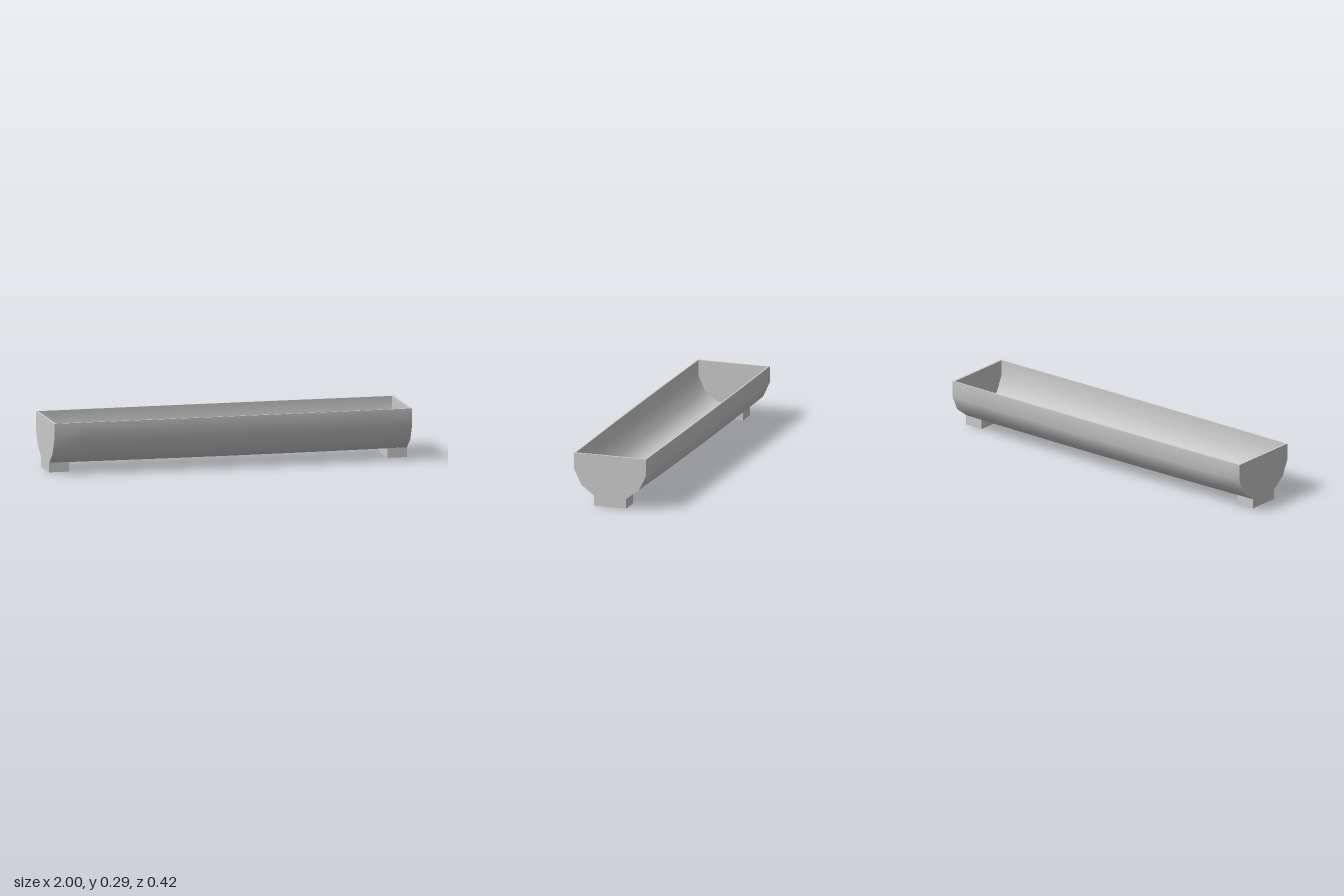
import * as THREE from 'three';

const TOP = 0.287, WALL = 0.012, STEPS = 12;
// Half cross-sections as [z, y], from the rim down to the bottom
const OUTER = [[0.207, TOP], [0.207, 0.196], [0.167, 0.112], [0.09, 0.053]];
const INNER = [[0.199, TOP], [0.199, 0.199], [0.161, 0.118], [0.087, 0.062]];

// Full cross-section at x; the walls swell very slightly towards mid-length
function section(half, x) {
  const b = 0.005 * (1 - x * x);
  const side = half.map(([z, y]) => [z + b, y === TOP ? y : y - b * 0.6]);
  return [...side, ...side.slice().reverse().map(([z, y]) => [-z, y])];
}

// Smooth skin lofted through the cross-sections from x0 to x1
function skin(half, x0, x1) {
  const pos = [], index = [], n = half.length * 2;
  for (let i = 0; i <= STEPS; i++) {
    const x = x0 + (x1 - x0) * i / STEPS;
    section(half, x).forEach(([z, y]) => pos.push(x, y, z));
  }
  for (let i = 0; i < STEPS; i++) {
    for (let j = 0; j < n - 1; j++) {
      const a = i * n + j, b = a + 1, c = a + n, d = c + 1;
      index.push(a, b, c, b, d, c);
    }
  }
  const geo = new THREE.BufferGeometry();
  geo.setAttribute('position', new THREE.Float32BufferAttribute(pos, 3));
  geo.setIndex(index);
  geo.computeVertexNormals();
  return geo;
}

// Flat end face at x, looking along +x or -x
function endFace(half, x, dir) {
  const shape = new THREE.Shape(section(half, x).map(([z, y]) => new THREE.Vector2(z, y)));
  return new THREE.ShapeGeometry(shape).rotateY(dir * Math.PI / 2).translate(x, 0, 0);
}

// Plan outline of the rim, following the swell of the long sides
function rimOutline(half, end) {
  const front = [], back = [];
  for (let i = 0; i <= STEPS; i++) {
    const x = -end + 2 * end * i / STEPS, z = section(half, x)[0][0];
    front.push(new THREE.Vector2(x, -z));
    back.unshift(new THREE.Vector2(x, z));
  }
  return [...front, ...back];
}

export function createModel() {
  const model = new THREE.Group();
  model.name = 'trough';
  const material = new THREE.MeshStandardMaterial({ color: 0xcccccc });
  const add = (name, geo) => {
    const mesh = new THREE.Mesh(geo, material);
    mesh.name = name;
    model.add(mesh);
    return mesh;
  };
  const inEnd = 1 - WALL;

  // Basin: outer and inner skins joined by a flat rim
  add('outerShell', skin(OUTER, -1, 1));
  add('innerShell', skin(INNER, inEnd, -inEnd));
  const rim = new THREE.Shape(rimOutline(OUTER, 1));
  rim.holes.push(new THREE.Path(rimOutline(INNER, inEnd)));
  add('rim', new THREE.ShapeGeometry(rim).rotateX(-Math.PI / 2).translate(0, TOP, 0));

  // End walls and the block foot under each end
  for (const [side, s] of [['left', 1], ['right', -1]]) {
    add(side + 'EndOuterFace', endFace(OUTER, s, s));
    add(side + 'EndInnerFace', endFace(INNER, s * inEnd, -s));
    add(side + 'Foot', new THREE.BoxGeometry(0.11, 0.053, 0.184)).position.set(s * 0.945, 0.0265, 0);
  }
  return model;
}
